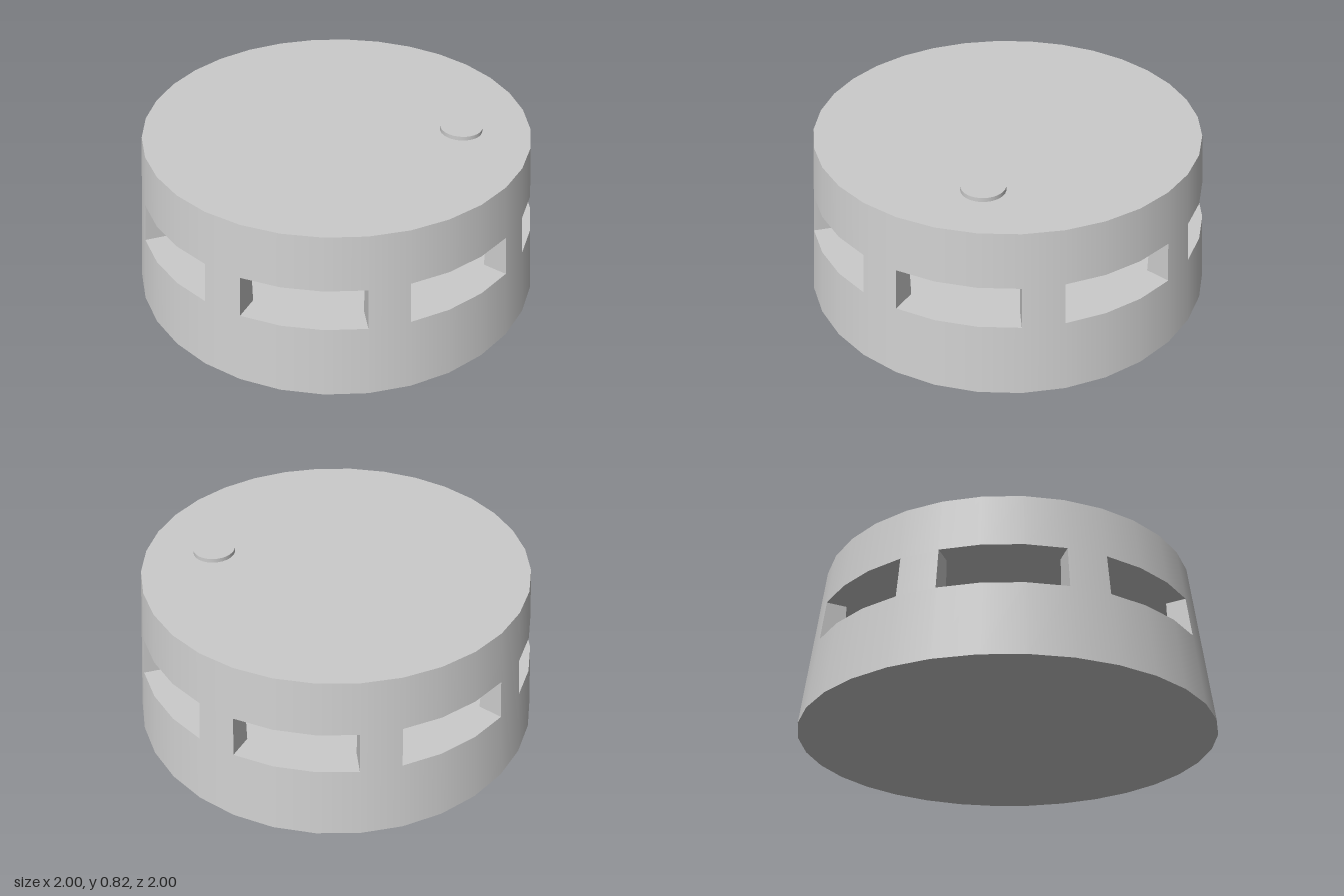
import * as THREE from 'three';

const SIDES = 32, STEP = (Math.PI * 2) / SIDES;
const Y0 = 0.345, Y1 = 0.54, TOP = 0.8, INNER = 0.85;
const radiusAt = (y) => 1 - 0.1 * y; // tapered outer wall

export function createModel() {
  const group = new THREE.Group();
  const solid = new THREE.MeshStandardMaterial({ color: 0xcccccc });
  const thin = new THREE.MeshStandardMaterial({ color: 0xcccccc, side: THREE.DoubleSide });

  const add = (name, geometry, material = solid, parent = group) => {
    const mesh = new THREE.Mesh(geometry, material);
    mesh.name = name;
    parent.add(mesh);
    return mesh;
  };

  // Solid tapered slabs below and above the window band
  const slab = (name, a, b) => {
    add(name, new THREE.CylinderGeometry(radiusAt(b), radiusAt(a), b - a, SIDES)).position.y = (a + b) / 2;
  };
  slab('base', 0, Y0);
  slab('cap', Y1, TOP);

  // Eight posts, each one facet wide, with a window three facets wide between them
  const h = Y1 - Y0, mid = (Y0 + Y1) / 2;
  const section = new THREE.Shape([
    new THREE.Vector2(INNER, Y0),
    new THREE.Vector2(radiusAt(Y0), Y0),
    new THREE.Vector2(radiusAt(Y1), Y1),
    new THREE.Vector2(INNER, Y1),
  ]);
  for (let i = 0; i < 8; i++) {
    const start = STEP + i * 4 * STEP;
    const post = new THREE.Group();
    post.name = 'post';
    group.add(post);
    const face = (name, rTop, rBottom, material) => {
      add(name, new THREE.CylinderGeometry(rTop, rBottom, h, 1, 1, true, start, STEP), material, post).position.y = mid;
    };
    face('postOuterFace', radiusAt(Y1), radiusAt(Y0), solid);
    face('postInnerFace', INNER, INNER, thin);
    for (const angle of [start, start + STEP]) {
      add('postSide', new THREE.ShapeGeometry(section).rotateY(angle - Math.PI / 2), thin, post);
    }
  }

  // Small round button on the top
  add('button', new THREE.CylinderGeometry(0.1, 0.1, 0.02, 32)).position.set(0.4, TOP + 0.01, 0.437);

  return group;
}
